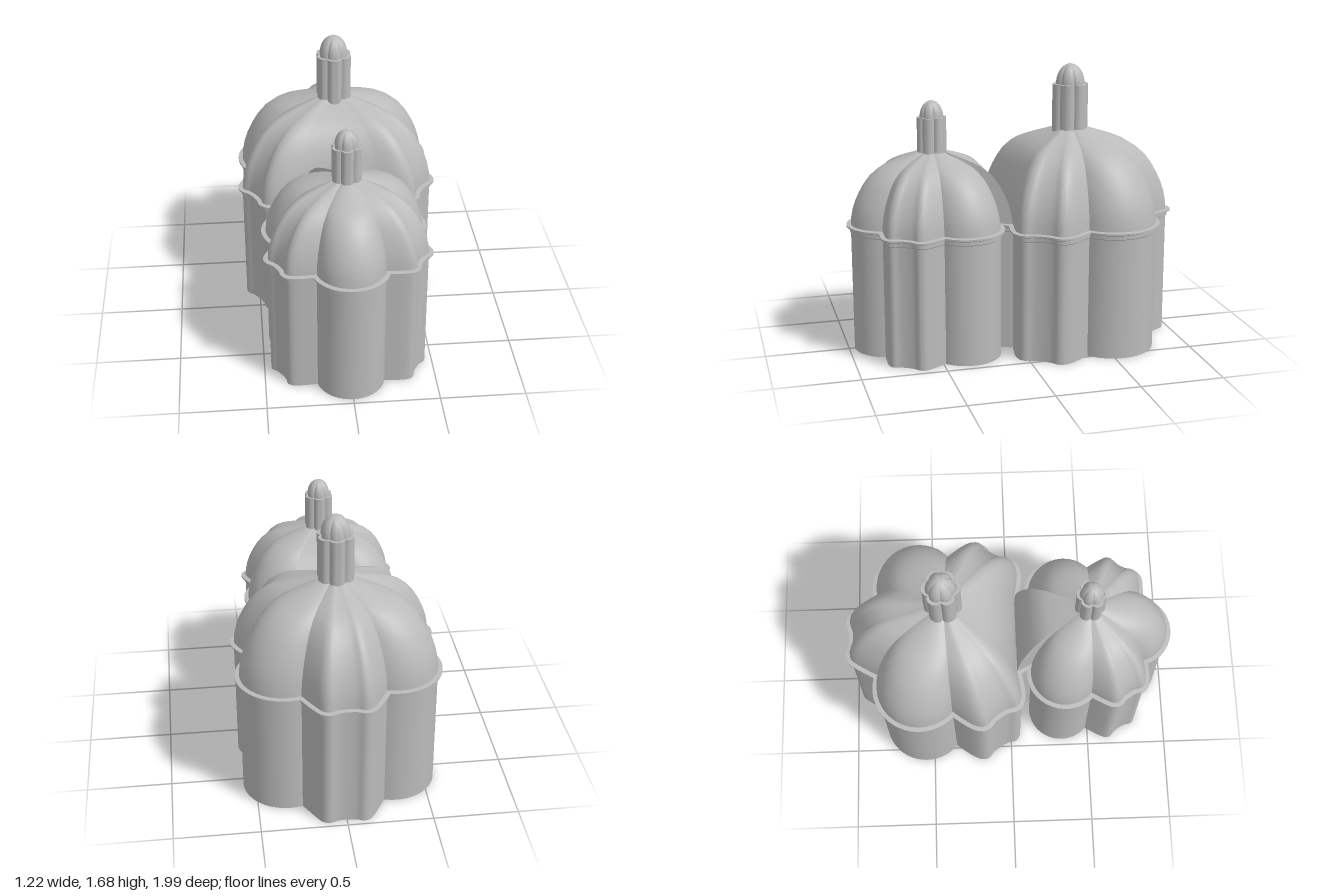
import * as THREE from 'three';
import { toCreasedNormals } from 'three/addons/utils/BufferGeometryUtils.js';

const stone = new THREE.MeshStandardMaterial({ color: 0xbababa, side: THREE.DoubleSide });
stone.name = 'pale grey stone';

// Surface through a series of rings with equal point counts
function loft(name, rings, closed) {
  const pos = [];
  const n = rings[0].length;
  for (let i = 0; i < rings.length - 1; i++) {
    for (let j = 0; j < (closed ? n : n - 1); j++) {
      const k = (j + 1) % n;
      const a = rings[i][j], b = rings[i][k], c = rings[i + 1][k], d = rings[i + 1][j];
      pos.push(...a, ...b, ...c, ...a, ...c, ...d);
    }
  }
  const geo = new THREE.BufferGeometry();
  geo.setAttribute('position', new THREE.Float32BufferAttribute(pos, 3));
  const mesh = new THREE.Mesh(toCreasedNormals(geo, 0.5), stone);
  mesh.name = name;
  return mesh;
}

// Lobe outlines as (sideways, outward) points between two valleys at +-half angle
const VALLEY = 0.482;
function roundLobe(half) {
  const c = 0.36, vt = VALLEY * Math.sin(half), dy = VALLEY * Math.cos(half) - c;
  const R = Math.hypot(vt, dy), end = Math.atan2(vt, dy);
  return Array.from({ length: 29 }, (_, i) => {
    const a = end * (i / 14 - 1);
    return [R * Math.sin(a), c + R * Math.cos(a)];
  });
}
function bracketLobe(half, flare) {
  const side = [[-VALLEY * Math.sin(half), VALLEY * Math.cos(half)],
    ...[[-0.178, 0.525], [-0.14, 0.577], [-0.1, 0.592], [-0.055, 0.577]].map(p => p.map(v => v * flare))];
  const pts = [...side, [0, 0.572 * flare], ...side.slice().reverse().map(([t, r]) => [-t, r])];
  return new THREE.SplineCurve(pts.map(p => new THREE.Vector2(...p))).getPoints(40).map(p => [p.x, p.y]);
}

// Five alternating lobes between valley angles, leaving the sixth side open as a passage
function plan(scale, valleys, firstIsRound, flare) {
  const out = [];
  for (let i = 0; i < 5; i++) {
    const from = THREE.MathUtils.degToRad(valleys[i]), to = THREE.MathUtils.degToRad(valleys[i + 1]);
    const mid = (from + to) / 2, half = (to - from) / 2, s = Math.sin(mid), c = Math.cos(mid);
    const isRound = (i % 2 === 0) === firstIsRound;
    const lobe = isRound ? roundLobe(half) : bracketLobe(half, flare[i]);
    lobe.slice(i ? 1 : 0).forEach(([t, r]) => out.push([(r * s + t * c) * scale, (r * c - t * s) * scale]));
  }
  return out;
}

// Move an open outline outward along its mitred normals
function offset(path, d) {
  const normal = (p, q) => {
    const dx = q[0] - p[0], dz = q[1] - p[1], l = Math.hypot(dx, dz);
    return [-dz / l, dx / l];
  };
  const last = path.length - 1;
  return path.map((p, i) => {
    const n1 = normal(path[Math.max(i - 1, 0)], path[Math.max(i, 1)]);
    const n2 = normal(path[Math.min(i, last - 1)], path[Math.min(i + 1, last)]);
    const k = d / Math.max(1 + n1[0] * n2[0] + n1[1] * n2[1], 0.5);
    return [p[0] + (n1[0] + n2[0]) * k, p[1] + (n1[1] + n2[1]) * k];
  });
}

// Wall section with moulding and lip: (offset, height)
const WALL = [[0, 0], [0, 0.73], [0.007, 0.735], [0.007, 0.757], [0.026, 0.765], [0.026, 0.775],
  [0, 0.778], [-0.028, 0.778], [-0.028, 0], [0, 0]];
// Dome profile: (plan scale, height share)
const DOME = [[1, 0], [0.992, 0.1], [0.972, 0.21], [0.937, 0.33], [0.892, 0.44], [0.837, 0.55], [0.765, 0.66],
  [0.67, 0.755], [0.6, 0.805], [0.5, 0.855], [0.38, 0.905], [0.25, 0.953], [0.14, 1]];

// Ring with six soft scallops
function scallop(r, depth, y) {
  return Array.from({ length: 72 }, (_, i) => {
    const a = i / 72 * Math.PI * 2;
    const q = r - depth * (1 - Math.abs(Math.cos(a * 3))) ** 1.5;
    return [q * Math.sin(a), y, q * Math.cos(a)];
  });
}

function chamber(name, path, scale, domeHeight, towerHeight, capHeight) {
  const g = new THREE.Group();
  g.name = name;
  g.add(loft('wallAndLip', WALL.map(([d, y]) => offset(path, d).map(([x, z]) => [x, y, z])), false));
  g.add(loft('lobedDome', DOME.map(([s, h]) =>
    path.map(([x, z]) => [x * s, 0.775 + h * domeHeight, z * s])), true));

  // Fluted turret with an open rim around its cap
  const base = 0.775 + domeHeight, top = base + towerHeight, d = 0.022 * scale;
  g.add(loft('turret', [
    scallop(0.109 * scale, d, base - 0.04), scallop(0.109 * scale, d, top),
    scallop(0.09 * scale, d, top), scallop(0.09 * scale, d, top - 0.03)], true));
  const cap = [scallop(0.087 * scale, d * 0.5, top - 0.03)];
  for (let i = 0; i <= 10; i++) {
    const a = i / 10 * Math.PI / 2, c = Math.max(Math.cos(a), 0.001);
    cap.push(scallop(0.087 * scale * c, d * 0.5 * c, top + capHeight * Math.sin(a)));
  }
  g.add(loft('turretCap', cap, true));
  return g;
}

export function createModel() {
  const model = new THREE.Group();
  model.name = 'twinDomedChambers';

  // Large chamber, open towards the front
  const largePath = plan(1, [29.5, 87, 150, 210, 273, 330.5], false, [1.03, 1, 1, 1, 1.03]);
  const large = chamber('largeChamber', largePath, 1, 0.525, 0.26, 0.12);
  large.position.z = -0.38;

  // Small chamber, reaching back to meet the large one
  const smallPath = plan(0.81, [210, 272, 330, 390, 448, 510], true, [1, 1, 1, 1, 1]);
  smallPath.unshift([-0.24, -0.43]);
  smallPath.push([0.24, -0.43]);
  const small = chamber('smallChamber', smallPath, 0.8, 0.425, 0.2, 0.097);
  small.position.z = 0.472;

  model.add(large, small);
  return model;
}
